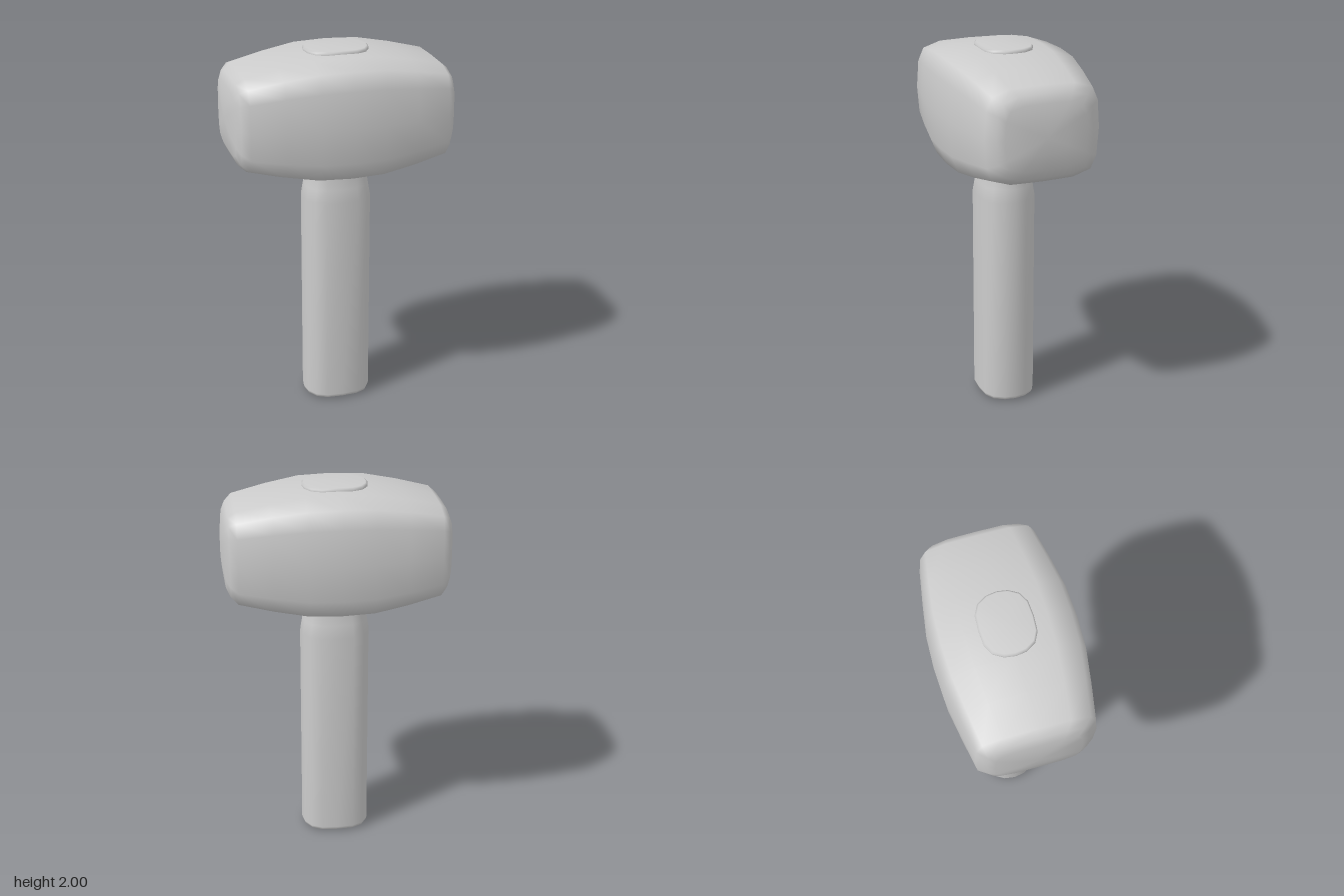
import * as THREE from 'three';

// Mirror a quarter outline (from +u axis to +v axis) into a closed loop
function loop(quarter) {
  const half = [...quarter, ...quarter.slice(0, -1).reverse().map(([u, v]) => [-u, v])];
  return [...half, ...half.slice(1, -1).reverse().map(([u, v]) => [u, -v])];
}

// Smooth solid along y; each ring is [y, half x, half z], ends close at a centre point
function loft(outline, rings, yStart, yEnd) {
  const n = outline.length, pos = [], idx = [];
  for (const [y, a, b] of rings) for (const [u, v] of outline) pos.push(a * u, y, b * v);
  pos.push(0, yStart, 0, 0, yEnd, 0);
  const first = rings.length * n, last = first + 1, top = first - n;
  for (let i = 0; i < n; i++) {
    const j = (i + 1) % n;
    for (let r = 0; r < top; r += n) {
      idx.push(r + i, r + n + i, r + j, r + j, r + n + i, r + n + j);
    }
    idx.push(first, i, j, last, top + j, top + i);
  }
  const geo = new THREE.BufferGeometry();
  geo.setAttribute('position', new THREE.Float32BufferAttribute(pos, 3));
  geo.setIndex(idx);
  geo.computeVertexNormals();
  return geo;
}

export function createModel() {
  const group = new THREE.Group();
  const material = new THREE.MeshStandardMaterial({ color: 0xcccccc });
  const add = (name, geo) => {
    const mesh = new THREE.Mesh(geo, material);
    mesh.name = name;
    group.add(mesh);
    return mesh;
  };

  // Barrel-shaped head: soft rectangular sections, lofted sideways
  const block = loop([[1, 0], [0.985, 0.55], [0.86, 0.865], [0.58, 0.965], [0, 1]]);
  const halfRings = [
    [0, 0.325, 0.37], [0.17, 0.319, 0.363], [0.345, 0.288, 0.336],
    [0.52, 0.247, 0.305], [0.558, 0.215, 0.256], [0.578, 0.17, 0.22], [0.59, 0.085, 0.11],
  ];
  const rings = [...halfRings.slice(1).reverse().map(([p, a, b]) => [-p, a, b]), ...halfRings];
  const head = loft(block, rings, -0.595, 0.595);
  head.rotateZ(-Math.PI / 2);
  add('head', head).position.y = 1.66;

  // Oval handle, narrowing where it enters the head
  const oval = loop([[1, 0], [0.95, 0.4], [0.77, 0.77], [0.47, 0.96], [0, 1]]);
  add('handle', loft(oval, [
    [0.008, 0.168, 0.134], [0.014, 0.18, 0.145], [0.03, 0.185, 0.15],
    [1.18, 0.185, 0.15], [1.25, 0.173, 0.139], [1.34, 0.158, 0.127], [1.5, 0.155, 0.125],
  ], 0, 1.5));

  // End of the handle showing through the top of the head
  add('handleTip', loft(oval, [
    [1.9, 0.16, 0.13], [1.975, 0.17, 0.137], [1.989, 0.17, 0.137], [1.997, 0.16, 0.128],
  ], 1.9, 2));

  return group;
}
